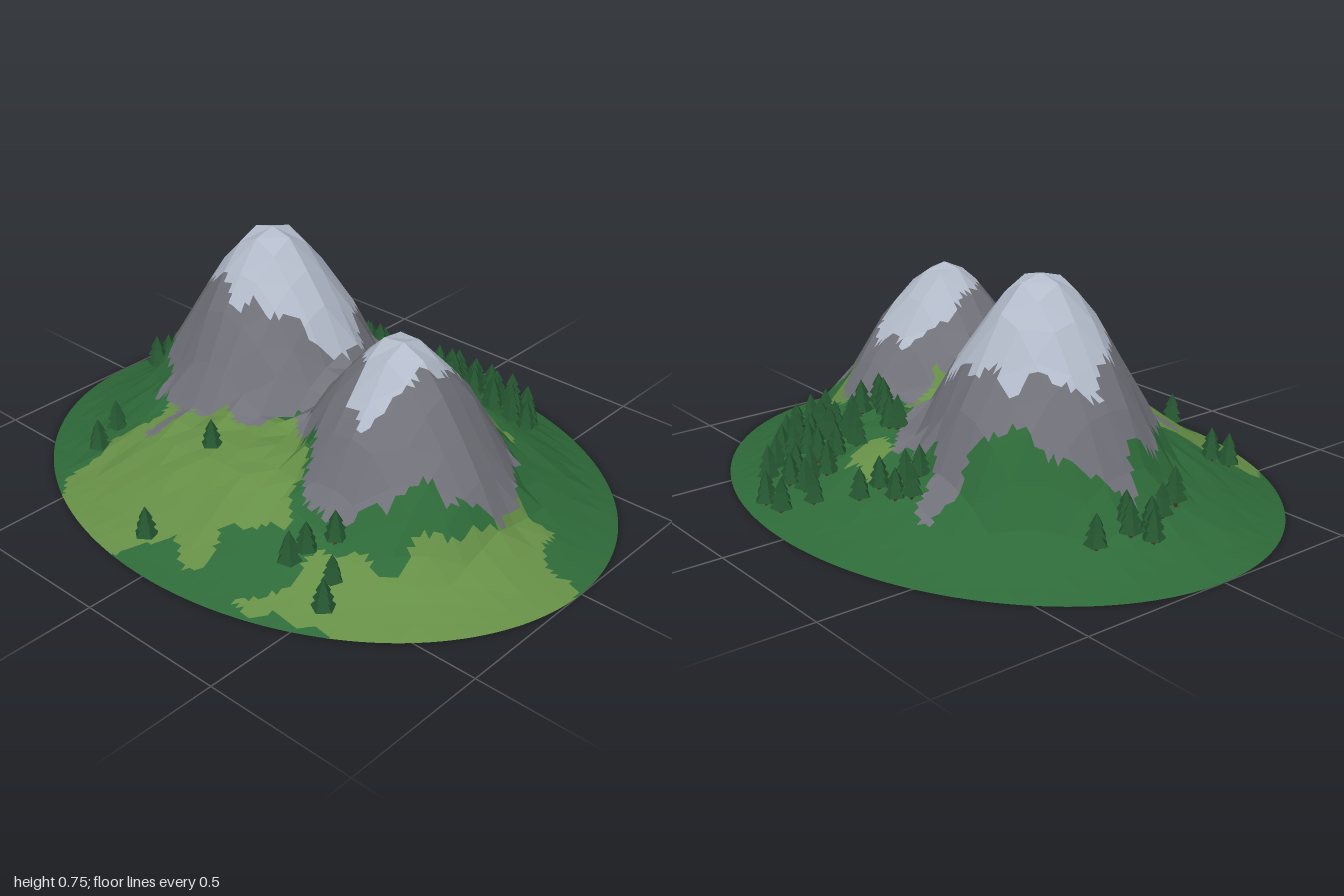
import * as THREE from 'three';
import { mergeGeometries } from 'three/addons/utils/BufferGeometryUtils.js';

const RX = 1, RZ = 0.8, CELL = 0.075, SUB = 4;

const mat = (name, color, side = THREE.FrontSide) =>
  new THREE.MeshStandardMaterial({ name, color, side, flatShading: true });

// Repeatable pseudo-random value in -1..1 for a grid point
function hash(i, j) {
  const s = Math.sin(i * 127.1 + j * 311.7) * 43758.5453;
  return (s - Math.floor(s)) * 2 - 1;
}

// Straight-line lookup in a profile of [distance, height] points
function profile(pts, r) {
  let k = 1;
  while (k < pts.length - 1 && r > pts[k][0]) k++;
  const [a, b] = [pts[k - 1], pts[k]];
  return a[1] + (b[1] - a[1]) * (r - a[0]) / (b[0] - a[0]);
}

const HILL = [[0, 0.28], [0.4, 0.26], [0.56, 0.22], [0.7, 0.15], [0.8, 0.09], [0.9, 0.035], [1, 0], [1.2, -0.06]];
const TALL = [[0, 0.75], [0.08, 0.73], [0.15, 0.65], [0.22, 0.54], [0.3, 0.41], [0.38, 0.24], [0.5, 0]];
const LOW = [[0, 0.64], [0.08, 0.6], [0.16, 0.51], [0.24, 0.4], [0.32, 0.27], [0.4, 0.13], [0.5, 0]];

const ellipseDist = (x, z) => Math.hypot(x / RX, z / RZ);

// Height at one node of the coarse grid
function nodeHeight(i, j) {
  const x = i * CELL, z = j * CELL;
  const d = ellipseDist(x, z);
  const tall = profile(TALL, Math.hypot(x + 0.3, (z + 0.075) * 1.05));
  const low = profile(LOW, Math.hypot(x - 0.355, z - 0.06));
  const saddle = 0.40 - Math.abs(z + 0.03) * 0.9 - Math.max(0, Math.abs(x - 0.05) - 0.12) * 2;
  const h = Math.max(profile(HILL, d), tall, low, saddle);
  const rough = h > 0.7 || d > 0.85 ? 0 : h > 0.25 ? 0.014 : 0.007;
  return h + hash(i, j) * rough;
}

// Height on the faceted surface: each coarse cell is two flat triangles
function height(x, z) {
  const gx = x / CELL + 1e-7, gz = z / CELL + 1e-7;
  const i = Math.floor(gx), j = Math.floor(gz), u = gx - i, v = gz - j;
  const b = nodeHeight(i + 1, j), c = nodeHeight(i, j + 1);
  const y = u + v <= 1
    ? nodeHeight(i, j) * (1 - u - v) + b * u + c * v
    : nodeHeight(i + 1, j + 1) * (u + v - 1) + b * (1 - v) + c * (1 - u);
  return Math.max(0, y);
}

// Ground cover outlines as flat lists of x, z
const SNOW = [
  [-.57, -.1, -.52, -.2, -.4, -.3, -.2, -.31, -.1, -.27, 0, -.15, .02, -.08, -.05, 0, -.15, .08, -.25, .13, -.35, .1, -.5, .03],
  [.22, -.1, .3, -.16, .4, -.17, .47, -.1, .46, -.02, .5, .05, .45, .12, .44, .22, .38, .28, .3, .22, .28, .12, .22, .05],
];
const ROCK = [
  [-.72, -.1, -.6, -.25, -.45, -.35, -.38, -.42, -.38, -.54, -.3, -.54, -.25, -.42, -.1, -.45, 0, -.4, .07, -.3, .07, -.1,
    .17, -.1, .12, -.23, .25, -.3, .45, -.3, .5, -.2, .62, -.2, .68, -.08, .74, -.05, .74, .05, .65, .2, .55, .25, .55, .33,
    .45, .4, .38, .44, .25, .38, .22, .28, .1, .25, 0, .12, -.05, .28, -.2, .28, -.3, .32, -.32, .43, -.38, .43, -.35, .3,
    -.48, .3, -.5, .2, -.63, .1, -.65, -.02],
];
const MEADOW = [
  [-.55, .62, -.5, .45, -.42, .4, -.4, .3, -.05, .2, .1, .15, .2, .3, .25, .42, .3, .5, .22, .53, .13, .6, .15, .7, .05, .72,
    -.02, .66, -.1, .74, -.2, .85, -.42, .85, -.52, .7],
  [.3, .74, .4, .62, .42, .48, .55, .42, .62, .42, .66, .25, .74, .15, .7, -.08, .82, -.09, .86, 0, .95, 0, 1.1, .12, 1, .5, .6, .64, .5, .66],
  [-.09, -.54, .05, -.55, .05, -.43, -.06, -.43],
  [.05, -.25, .2, -.25, .18, -.08, .07, -.1],
  [.38, -.33, .5, -.33, .52, -.2, .42, -.2],
];

function inside(poly, x, z) {
  let hit = false;
  for (let a = 0, b = poly.length - 2; a < poly.length; b = a, a += 2) {
    const [xa, za, xb, zb] = [poly[a], poly[a + 1], poly[b], poly[b + 1]];
    if ((za > z) !== (zb > z) && x < xa + (xb - xa) * (z - za) / (zb - za)) hit = !hit;
  }
  return hit;
}

function cover(x, z) {
  const wx = x + 0.012 * Math.sin(z * 43 + x * 11), wz = z + 0.012 * Math.sin(x * 47 - z * 9);
  const within = (list) => list.some((p) => inside(p, wx, wz));
  return within(SNOW) ? 'snowCaps' : within(ROCK) ? 'rockSlopes' : within(MEADOW) ? 'meadow' : 'grass';
}

// Open terrain shell, sorted into one mesh per ground cover
function buildTerrain() {
  const step = CELL / SUB, nx = Math.ceil(RX / step) + 1, nz = Math.ceil(RZ / step) + 1;
  const parts = { snowCaps: [], rockSlopes: [], meadow: [], grass: [] };
  const point = (i, j) => {
    const x = i * step, z = j * step, d = ellipseDist(x, z);
    return d >= 1 ? { p: [x / d, 0, z / d], out: true } : { p: [x, height(x, z), z], out: false };
  };
  const addTriangle = (...c) => {
    if (c.every((q) => q.out)) return;
    const mid = (k) => (c[0].p[k] + c[1].p[k] + c[2].p[k]) / 3;
    parts[cover(mid(0), mid(2))].push(...c.flatMap((q) => q.p));
  };
  for (let i = -nx; i < nx; i++) {
    for (let j = -nz; j < nz; j++) {
      const a = point(i, j), b = point(i + 1, j), c = point(i, j + 1), d = point(i + 1, j + 1);
      addTriangle(a, c, b);
      addTriangle(b, c, d);
    }
  }
  const mats = {
    snowCaps: mat('snow', 0xb3bbca, THREE.DoubleSide),
    rockSlopes: mat('rock', 0x71727a, THREE.DoubleSide),
    meadow: mat('meadow green', 0x668f46, THREE.DoubleSide),
    grass: mat('forest floor green', 0x2e6a39, THREE.DoubleSide),
  };
  const terrain = new THREE.Group();
  terrain.name = 'terrain';
  for (const [name, pos] of Object.entries(parts)) {
    const geo = new THREE.BufferGeometry();
    geo.setAttribute('position', new THREE.Float32BufferAttribute(pos, 3));
    geo.computeVertexNormals();
    const mesh = new THREE.Mesh(geo, mats[name]);
    mesh.name = name;
    terrain.add(mesh);
  }
  return terrain;
}

// Tree positions as x, z pairs
const GROVES = {
  sideGrove: [-.75, -.25, -.77, -.14, -.74, -.13, -.78, -.07, -.81, -.09, -.76, -.01, -.74, .06],
  frontTrees: [-.54, .42, -.54, .5, -.1, .41, -.09, .7, .44, .44, .39, .51, .37, .56, .5, .52, .53, .59],
  backForest: [.12, -.73, .21, -.73, .03, -.67, .11, -.65, .13, -.62, .2, -.65, .33, -.65, .23, -.61, .35, -.61, .08, -.59,
    .18, -.56, .25, -.55, .32, -.56, .38, -.57, .43, -.52, .38, -.51, .45, -.47, .41, -.44, .3, -.51, .22, -.49, .12, -.53,
    .08, -.48, .14, -.47, .18, -.43, .25, -.45, .32, -.46, .35, -.42, .05, -.38, .02, -.37, .13, -.34, .17, -.32, .22, -.37,
    .21, -.31, -.11, -.6, -.14, -.55, -.22, -.55, -.26, -.52, -.23, -.47, -.2, -.5],
};

export function createModel() {
  const model = new THREE.Group();
  model.name = 'twinPeakIsland';
  model.add(buildTerrain());

  // Three stacked five-sided cones on a short trunk
  const tiers = [[0.037, 0.05, 0.045], [0.031, 0.045, 0.07], [0.022, 0.042, 0.094]];
  const foliageGeo = mergeGeometries(tiers.map(([r, h, y]) => new THREE.ConeGeometry(r, h, 5).translate(0, y, 0)));
  const trunkGeo = new THREE.CylinderGeometry(0.007, 0.009, 0.04, 5).translate(0, 0.01, 0);
  const leaf = mat('pine green', 0x24542f), bark = mat('bark brown', 0x4d3524);

  for (const [name, spots] of Object.entries(GROVES)) {
    const grove = new THREE.Group();
    grove.name = name;
    for (let k = 0; k < spots.length; k += 2) {
      const [x, z] = [spots[k], spots[k + 1]];
      const tree = new THREE.Group();
      tree.name = 'tree';
      const foliage = new THREE.Mesh(foliageGeo, leaf), trunk = new THREE.Mesh(trunkGeo, bark);
      foliage.name = 'foliage';
      trunk.name = 'trunk';
      tree.add(foliage, trunk);
      tree.position.set(x, height(x, z) - 0.008, z);
      tree.rotation.y = hash(k, spots.length) * Math.PI;
      tree.scale.setScalar(1 + 0.08 * hash(k, 3));
      grove.add(tree);
    }
    model.add(grove);
  }
  return model;
}
